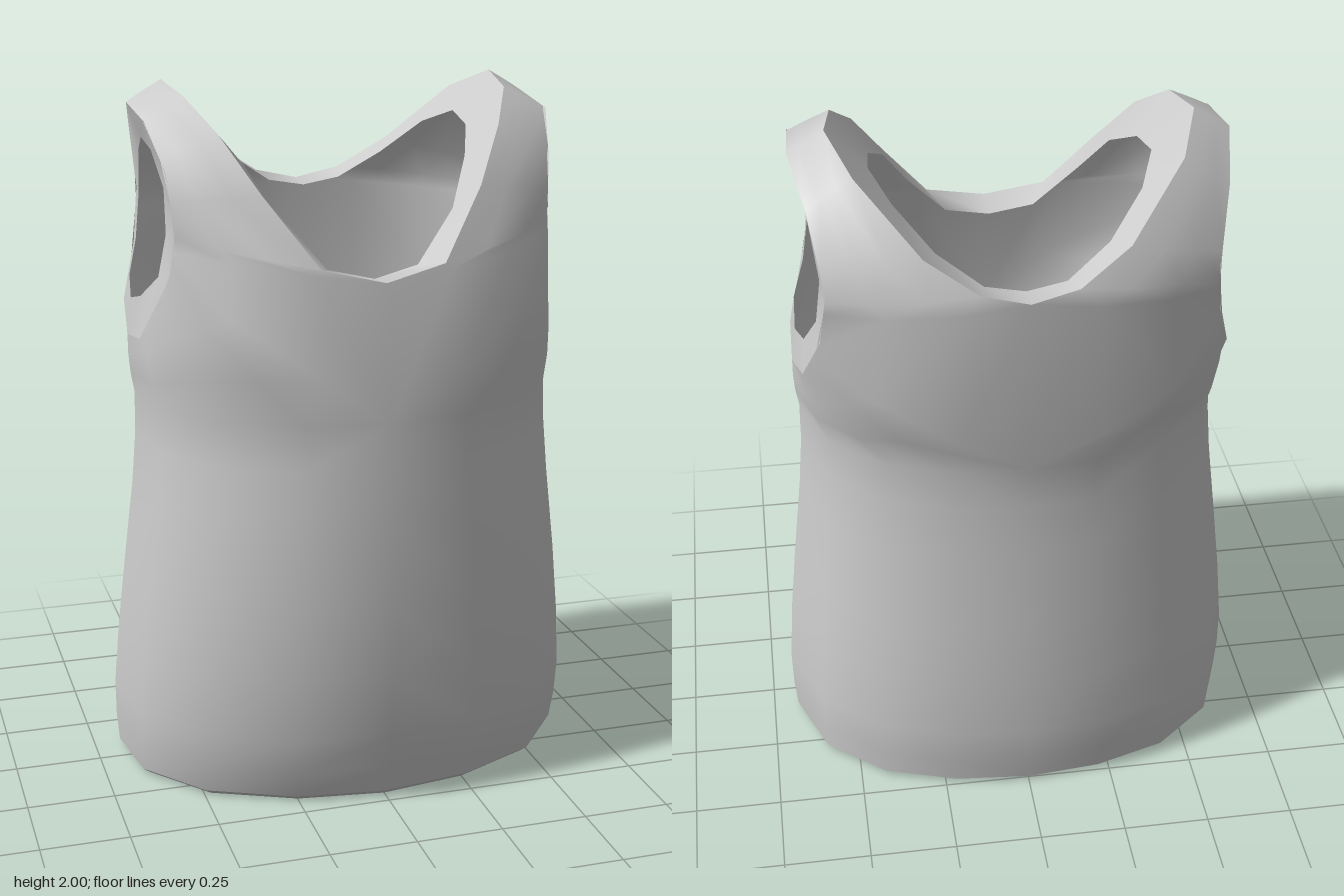
import * as THREE from 'three';
import { mergeVertices } from 'three/addons/utils/BufferGeometryUtils.js';

const V = (x, y, z) => new THREE.Vector3(x, y, z);
const material = new THREE.MeshStandardMaterial({ color: 0xcccccc, side: THREE.DoubleSide });

// Half cross-section of the torso, front centre -> side -> back centre (unit size)
const PROFILE = [[0, 1], [0.38, 0.925], [0.735, 0.7], [0.955, 0.32], [1, -0.13],
  [0.88, -0.55], [0.63, -0.83], [0.32, -0.96], [0, -1]];

function section(y, w, front, back) {
  const mid = (front + back) / 2, depth = (front - back) / 2;
  return PROFILE.map(([x, z]) => V(x * w, y, mid + z * depth));
}

// Triangles between successive rows of points, plus their mirror image
function addRows(out, rows) {
  const tri = (a, b, c) => {
    for (const p of [a, b, c]) out.push(p.x, p.y, p.z);
    for (const p of [a, c, b]) out.push(-p.x, p.y, p.z);
  };
  for (let i = 0; i < rows.length - 1; i++) {
    const a = rows[i], b = rows[i + 1];
    for (let j = 0; j < a.length - 1; j++) {
      tri(a[j], a[j + 1], b[j]);
      tri(a[j + 1], b[j + 1], b[j]);
    }
  }
}

function makeMesh(name, ...patches) {
  const out = [];
  patches.forEach((rows) => addRows(out, rows));
  let geo = new THREE.BufferGeometry();
  geo.setAttribute('position', new THREE.Float32BufferAttribute(out, 3));
  geo = mergeVertices(geo, 1e-4);
  geo.computeVertexNormals();
  const mesh = new THREE.Mesh(geo, material);
  mesh.name = name;
  return mesh;
}

export function createModel() {
  // Torso sections from hem to just below the armholes
  const body = [
    [0.015, 0.675, 0.468, -0.513], [0.1, 0.683, 0.495, -0.523], [0.21, 0.685, 0.52, -0.53],
    [0.4, 0.67, 0.532, -0.52], [0.6, 0.648, 0.535, -0.505], [0.85, 0.618, 0.52, -0.48],
    [1.0, 0.605, 0.508, -0.469], [1.12, 0.603, 0.495, -0.465],
  ].map((s) => section(...s));
  const chest = body[body.length - 1];

  // Neckline, front centre -> shoulder -> back centre: outer fold and inner edge
  const neckOuter = [V(0, 1.5, 0.445), V(0.175, 1.54, 0.42), V(0.31, 1.73, 0.32), V(0.4, 1.88, 0.21),
    V(0.465, 1.97, 0.08), V(0.49, 2, -0.11), V(0.43, 1.94, -0.28), V(0.27, 1.77, -0.42),
    V(0.13, 1.68, -0.467), V(0, 1.65, -0.477)];
  const neckInner = [V(0, 1.49, 0.335), V(0.13, 1.52, 0.32), V(0.25, 1.66, 0.26), V(0.32, 1.79, 0.16),
    V(0.37, 1.86, 0.03), V(0.38, 1.885, -0.11), V(0.33, 1.84, -0.24), V(0.23, 1.74, -0.335),
    V(0.11, 1.66, -0.385), V(0, 1.64, -0.39)];

  // Armhole rings, front -> top -> back -> bottom
  const armOuter = [V(0.535, 1.63, 0.26), V(0.55, 1.79, 0.22), V(0.582, 1.91, 0.11), V(0.59, 1.94, -0.11),
    V(0.555, 1.86, -0.28), V(0.52, 1.66, -0.375), V(0.54, 1.5, -0.34), V(0.59, 1.35, -0.25),
    V(0.614, 1.285, -0.07), V(0.61, 1.31, 0.1), V(0.55, 1.5, 0.24)];
  const armInner = [V(0.54, 1.61, 0.16), V(0.535, 1.73, 0.12), V(0.545, 1.82, 0), V(0.55, 1.84, -0.115),
    V(0.54, 1.79, -0.215), V(0.53, 1.655, -0.285), V(0.545, 1.525, -0.27), V(0.58, 1.43, -0.2),
    V(0.6, 1.39, -0.075), V(0.595, 1.42, 0.05), V(0.56, 1.49, 0.14)];
  const onArm = (f) => {
    const n = armOuter.length, i = Math.floor(f);
    return armOuter[(i + n) % n].clone().lerp(armOuter[(i + 1 + n) % n], f - i);
  };

  // Chest, back and straps: rings spreading from the armhole to the neckline and torso
  const border = [...neckOuter, ...chest.slice().reverse()];
  const match = [-0.4, -0.1, 0.5, 1.2, 2.1, 3, 4, 4.8, 5.15, 5.4,
    6.2, 6.5, 6.9, 7.4, 8, 9.2, 9.8, 10.1, 10.35];
  const yoke = [0, 0.33, 0.67, 1].map((t) => {
    const ring = border.map((c, i) => {
      const a = onArm(match[i]), p = a.clone().lerp(c, t);
      const bulge = 0.72 * t * (1 - t) * a.distanceToSquared(c);
      const out = V(p.x / 0.36, 0, p.z / 0.2).normalize();
      return p.addScaledVector(out, bulge);
    });
    return [...ring, ring[0]];
  });

  const group = new THREE.Group();
  group.name = 'tankTop';
  group.add(
    makeMesh('shirtBody', body, yoke),
    makeMesh('neckBand', [neckOuter, neckInner]),
    makeMesh('armholeBands', [[...armInner, armInner[0]], [...armOuter, armOuter[0]]]),
    // Hem turned under
    makeMesh('hem', [section(0.012, 0.61, 0.41, -0.455), section(0, 0.655, 0.452, -0.497), body[0]]),
  );
  return group;
}
